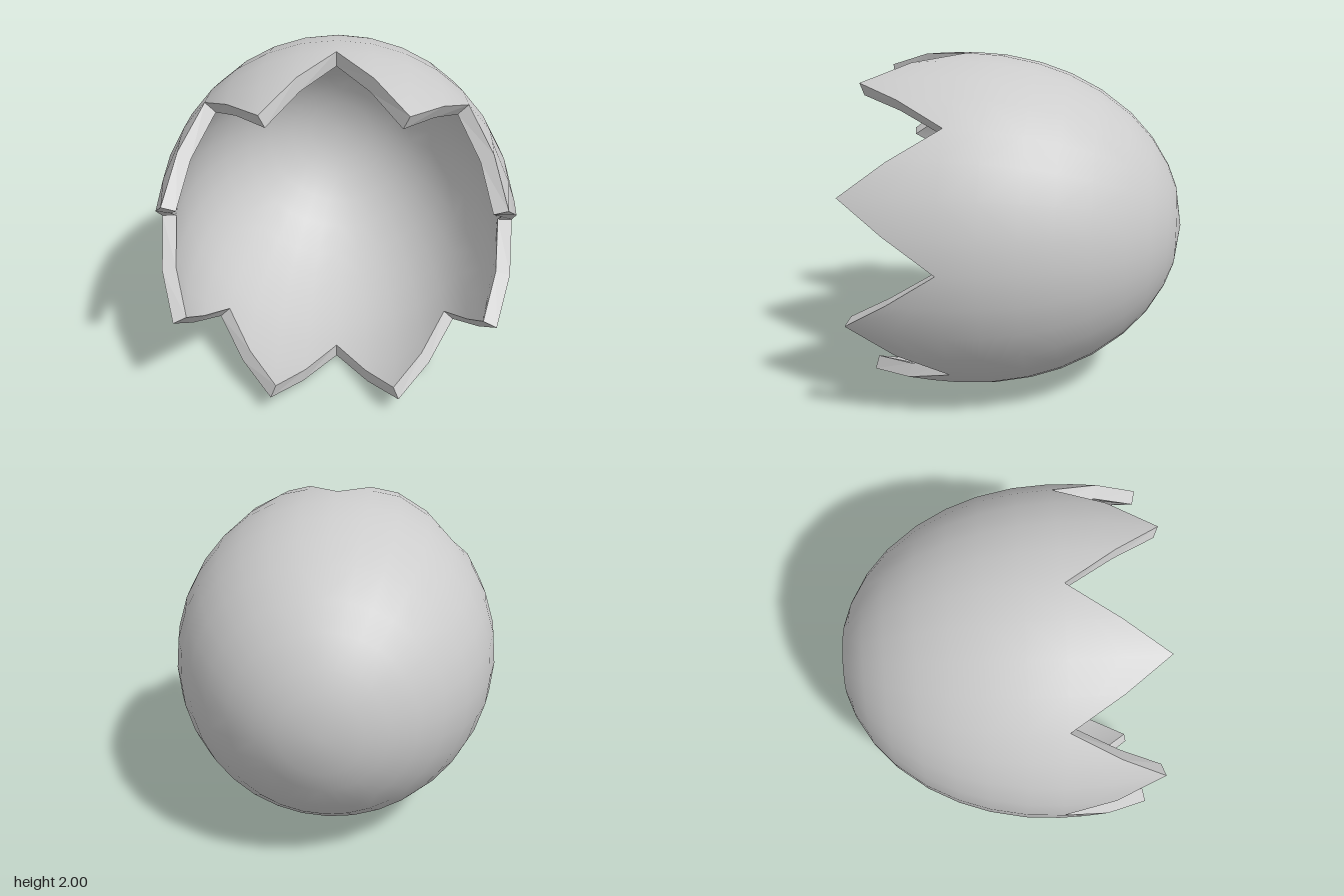
import * as THREE from 'three';

const COLUMNS = 32;          // four columns per tooth
const WIDEST = 0.36;         // z of the widest ring
const THICKNESS = 0.08;
const BODY_Z = [-0.905, -0.87, -0.82, -0.72, -0.59, -0.41, -0.23, -0.05, 0.16, WIDEST];
const RIM_Z = [0.37, 0.65, 0.905, 0.65]; // valley, flank, tip, flank
const TOOTH_ROWS = 2;

// Point and normal on the egg, moved inward by the inset
function eggPoint(column, z, inset) {
  const angle = (column / COLUMNS) * Math.PI * 2;
  const d = z - WIDEST;
  const a = d < 0 ? 1.265 : 1.68;
  const r = Math.sqrt(Math.max(0, 1 - (d / a) ** 2));
  const normal = new THREE.Vector3(r * Math.cos(angle), r * Math.sin(angle), d / (a * a)).normalize();
  const point = new THREE.Vector3(r * Math.cos(angle), 1 + r * Math.sin(angle), z);
  return { point: point.addScaledVector(normal, -inset), normal };
}

// Heights of one column from the closed end to the jagged edge
function columnZ(column) {
  const zs = [...BODY_Z];
  const rim = RIM_Z[column % 4];
  for (let i = 1; i <= TOOTH_ROWS; i++) zs.push(THREE.MathUtils.lerp(WIDEST, rim, i / TOOTH_ROWS));
  return zs;
}

// Smooth skin: outside, or inside with reversed faces
function skin(inset, inside) {
  const positions = [], normals = [], index = [];
  const rows = BODY_Z.length + TOOTH_ROWS;
  for (let c = 0; c <= COLUMNS; c++) {
    for (const z of columnZ(c)) {
      const { point, normal } = eggPoint(c, z, inset);
      if (inside) normal.negate();
      positions.push(...point.toArray());
      normals.push(...normal.toArray());
    }
  }
  for (let c = 0; c < COLUMNS; c++) {
    for (let r = 0; r < rows - 1; r++) {
      const a = c * rows + r, b = a + rows;
      // Diagonals mirror across each tooth
      const tris = c % 4 < 2 ? [[a, b, b + 1], [a, b + 1, a + 1]] : [[a, b, a + 1], [b, b + 1, a + 1]];
      for (const [i, j, k] of tris) index.push(...(inside ? [i, k, j] : [i, j, k]));
    }
  }
  const geometry = new THREE.BufferGeometry();
  geometry.setAttribute('position', new THREE.Float32BufferAttribute(positions, 3));
  geometry.setAttribute('normal', new THREE.Float32BufferAttribute(normals, 3));
  geometry.setIndex(index);
  return geometry;
}

// Flat broken edge joining the two skins
function brokenEdge() {
  const positions = [];
  for (let c = 0; c < COLUMNS; c++) {
    const [o1, i1, o2, i2] = [c, c + 1].flatMap((k) =>
      [0, THICKNESS].map((inset) => eggPoint(k, RIM_Z[k % 4], inset).point));
    for (const p of [o1, o2, i2, o1, i2, i1]) positions.push(...p.toArray());
  }
  const geometry = new THREE.BufferGeometry();
  geometry.setAttribute('position', new THREE.Float32BufferAttribute(positions, 3));
  geometry.computeVertexNormals();
  return geometry;
}

export function createModel() {
  const shellGrey = new THREE.MeshStandardMaterial({ color: 0xcccccc });
  shellGrey.name = 'shellGrey';
  const group = new THREE.Group();
  group.name = 'crackedEggshell';
  const add = (name, geometry) => {
    const mesh = new THREE.Mesh(geometry, shellGrey);
    mesh.name = name;
    group.add(mesh);
  };
  add('outerShell', skin(0, false));
  add('innerShell', skin(THICKNESS, true));
  add('brokenEdge', brokenEdge());
  return group;
}
